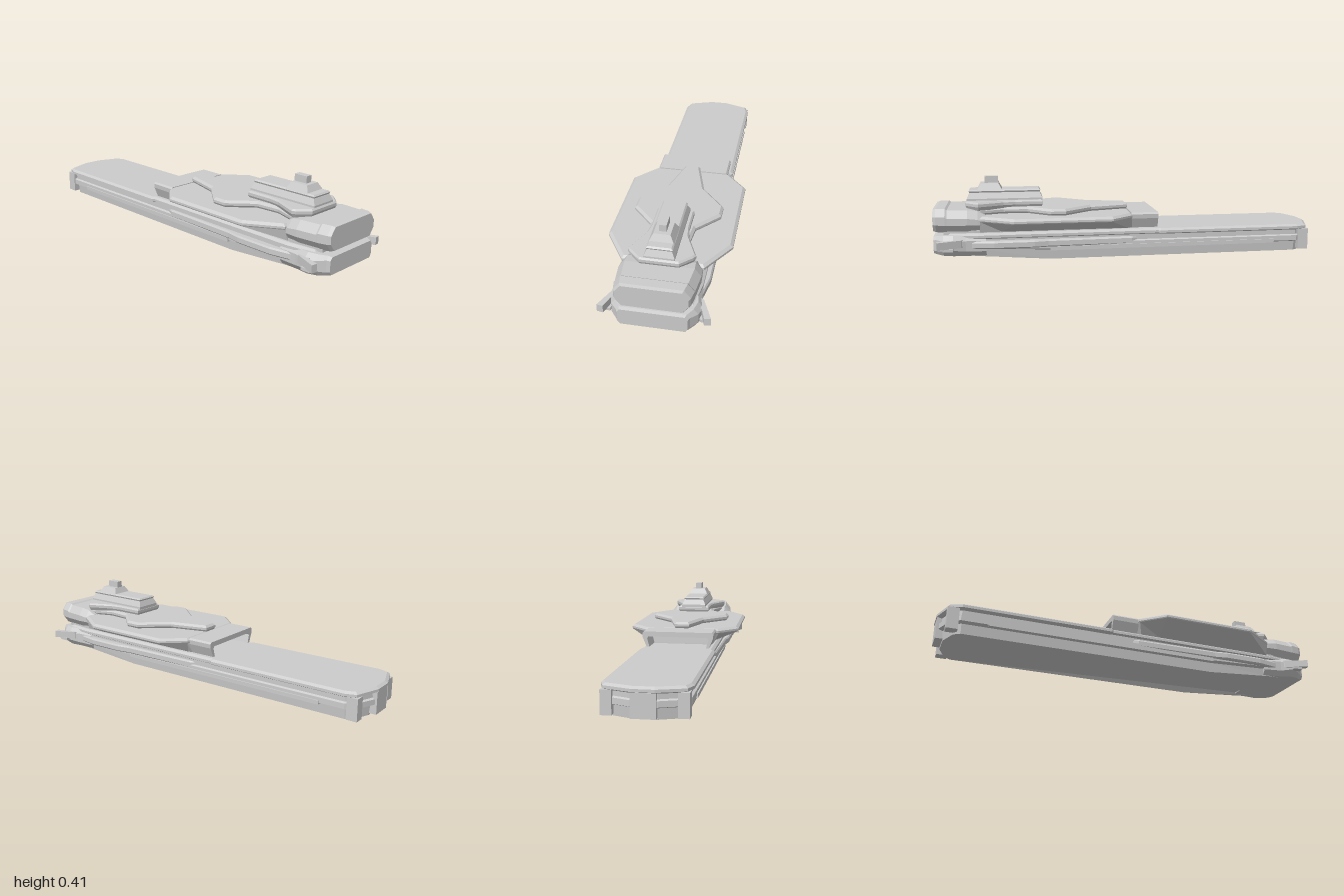
import * as THREE from 'three';

const grey = new THREE.MeshStandardMaterial({ color: 0xcccccc, flatShading: true });

// Mirror a half outline [x, z] across x = 0 into a closed loop.
const mirror = half => [...half, ...half.map(([x, z]) => [-x, z]).reverse()];

// Move a closed outline inward by d with mitred corners.
function inset(loop, d) {
  const n = loop.length;
  const s = Math.sign(THREE.ShapeUtils.area(loop.map(p => new THREE.Vector2(...p))));
  const normal = (a, b) => {
    const l = Math.hypot(b[0] - a[0], b[1] - a[1]);
    return [-s * (b[1] - a[1]) / l, s * (b[0] - a[0]) / l];
  };
  return loop.map((p, i) => {
    const a = normal(loop[(i + n - 1) % n], p), b = normal(p, loop[(i + 1) % n]);
    const k = d / Math.max(0.4, 1 + a[0] * b[0] + a[1] * b[1]);
    return [p[0] + (a[0] + b[0]) * k, p[1] + (a[1] + b[1]) * k];
  });
}

// Skin equal-length rings of [x, y, z] and cap both ends; axis is the stacking axis.
function loft(rings, axis) {
  const n = rings[0].length, tris = [];
  for (let r = 0; r < rings.length - 1; r++) {
    for (let i = 0; i < n; i++) {
      const j = (i + 1) % n, a = rings[r], b = rings[r + 1];
      tris.push([a[i], a[j], b[j]], [a[i], b[j], b[i]]);
    }
  }
  [rings[0], rings[rings.length - 1]].forEach((ring, end) => {
    const flat = ring.map(p => new THREE.Vector2(p[0], axis === 'y' ? p[2] : p[1]));
    const turn = THREE.ShapeUtils.area(flat);
    for (const t of THREE.ShapeUtils.triangulateShape(flat, [])) {
      const same = THREE.ShapeUtils.area(t.map(i => flat[i])) * turn > 0;
      const tri = t.map(i => ring[i]);
      tris.push(same === (end === 1) ? tri : tri.reverse());
    }
  });
  // Turn the whole skin outward when its signed volume is negative.
  let volume = 0;
  for (const [a, b, c] of tris) {
    volume += a[0] * (b[1] * c[2] - b[2] * c[1]) + a[1] * (b[2] * c[0] - b[0] * c[2]) + a[2] * (b[0] * c[1] - b[1] * c[0]);
  }
  if (volume < 0) tris.forEach(t => t.reverse());
  const geo = new THREE.BufferGeometry();
  geo.setAttribute('position', new THREE.Float32BufferAttribute(tris.flat(2), 3));
  geo.computeVertexNormals();
  return geo;
}

// Stack one plan outline at levels [y, inset].
const plate = (loop, levels, rise = () => 0) => loft(levels.map(([y, d]) =>
  inset(loop, d).map(([x, z]) => [x, y + rise(y, z), z])), 'y');

// Bevelled octagonal section at z.
const octagon = ([z, w, y0, y1, c]) => mirror([[w - c, y0], [w, y0 + c * 1.3], [w, y1 - c * 1.3], [w - c, y1]])
  .map(([x, y]) => [x, y, z]);

export function createModel() {
  const model = new THREE.Group();
  const add = (name, geo) => {
    const mesh = new THREE.Mesh(geo, grey);
    mesh.name = name;
    model.add(mesh);
    return mesh;
  };
  const box = (name, x0, x1, y0, y1, z0, z1) =>
    add(name, new THREE.BoxGeometry(x1 - x0, y1 - y0, z1 - z0))
      .position.set((x0 + x1) / 2, (y0 + y1) / 2, (z0 + z1) / 2);

  // Lower hull, its keel rising towards the bow
  const keelRise = (y, z) => Math.max(0, (z - 0.42) / 0.58) * 0.045 * Math.max(0, 1 - y / 0.12);
  const hull = mirror([[0.06, -0.985], [0.16, -0.945], [0.19, -0.9], [0.19, 0.42], [0.19, 0.78], [0.165, 0.97]]);
  add('lowerHull', plate(hull, [[0, 0.025], [0.05, 0.02], [0.058, 0], [0.085, 0], [0.09, 0.012], [0.125, 0.012]], keelRise));

  // Flight deck with bevelled edge
  const deck = mirror([[0.05, -1], [0.18, -0.955], [0.2, -0.9], [0.2, -0.15], [0.19, -0.14], [0.19, 0.78], [0.17, 0.93]]);
  add('deck', plate(deck, [[0.116, 0.014], [0.123, 0], [0.136, 0], [0.146, 0.014]]));

  // Lower bow
  add('lowerBow', loft([
    [0.74, 0.185, 0.03, 0.135, 0.02], [0.84, 0.195, 0.033, 0.138, 0.02], [0.9, 0.212, 0.036, 0.138, 0.025],
    [0.95, 0.195, 0.038, 0.138, 0.02], [0.985, 0.165, 0.042, 0.135, 0.014], [1, 0.157, 0.047, 0.13, 0.012],
  ].map(octagon), 'z'));

  // Stern panel
  box('sternPanel', -0.055, 0.055, 0.01, 0.12, -0.997, -0.95);

  for (const s of [-1, 1]) {
    const side = (a, b) => (s > 0 ? [a, b] : [-b, -a]);
    // Stern corner blocks and side ledges
    box('sternBlock', ...side(0.14, 0.19), 0.01, 0.12, -0.965, -0.91);
    box('sideLedge', ...side(0.17, 0.196), 0.05, 0.07, -0.77, 0.42);
    // Forward side rail, tapered at both ends
    const rail = [[0.17, -0.05], [0.19, 0], [0.2, 0.43], [0.212, 0.5], [0.212, 0.7], [0.19, 0.82], [0.17, 0.82]];
    add('sideRail', plate(rail.map(([x, z]) => [s * x, z]), [[0.07, 0.006], [0.076, 0], [0.1, 0], [0.108, 0.006]]));
    // Bow fins
    const fin = [[0.17, 0.84], [0.205, 0.86], [0.255, 0.975], [0.225, 0.98], [0.205, 0.92], [0.17, 0.92]];
    add('bowFin', plate(fin.map(([x, z]) => [s * x, z]), [[0.08, 0], [0.118, 0]]));
    box('finMount', ...side(0.2, 0.234), 0.067, 0.082, 0.9, 0.95);
  }

  // Pedestal joining the two hulls
  add('pedestal', plate(mirror([[0.15, 0], [0.165, 0.1], [0.165, 0.8], [0.15, 0.95]]), [[0.13, 0], [0.16, 0]]));

  // Upper hull with undercut sides
  const rim = mirror([[0.185, -0.005], [0.2, 0], [0.298, 0.11], [0.298, 0.6], [0.19, 0.77]]);
  const under = mirror([[0.165, -0.005], [0.17, 0.02], [0.17, 0.12], [0.17, 0.66], [0.17, 0.77]]);
  const level = (loop, y) => loop.map(([x, z]) => [x, y, z]);
  add('upperHull', loft([level(under, 0.15), level(inset(rim, 0.003), 0.205), level(rim, 0.21),
    level(rim, 0.22), level(inset(rim, 0.014), 0.231)], 'y'));

  // Rear hangar arch over the deck
  const arch = mirror([[0.155, 0.205], [0.162, 0.195], [0.15, 0.15], [0.165, 0.15], [0.186, 0.2], [0.188, 0.222], [0.18, 0.231]]);
  add('hangarArch', loft([-0.14, 0].map(z => arch.map(([x, y]) => [x, y, z])), 'z'));

  // Upper bow
  add('upperBow', loft([
    [0.74, 0.18, 0.15, 0.232, 0.025], [0.78, 0.185, 0.15, 0.255, 0.03], [0.83, 0.188, 0.15, 0.262, 0.03],
    [0.93, 0.178, 0.15, 0.263, 0.03], [0.94, 0.178, 0.15, 0.27, 0.03], [0.985, 0.17, 0.152, 0.27, 0.03],
    [1, 0.162, 0.157, 0.266, 0.028],
  ].map(octagon), 'z'));

  // Raised upper deck
  const raised = mirror([[0.04, 0], [0.095, 0.2], [0.215, 0.34], [0.215, 0.415], [0.11, 0.53], [0.1, 0.65], [0.14, 0.77], [0.09, 0.82]]);
  add('raisedDeck', plate(raised, [[0.225, 0.01], [0.24, 0], [0.252, 0], [0.263, 0.012]]));

  // Bridge base
  const base = mirror([[0.09, 0.45], [0.09, 0.59], [0.1, 0.65], [0.155, 0.775], [0.145, 0.79], [0.09, 0.842]]);
  add('bridgeBase', plate(base, [[0.255, 0.01], [0.274, 0], [0.288, 0], [0.296, 0.007]]));

  // Bridge tiers
  const tier = mirror([[0.07, 0.45], [0.07, 0.835]]);
  add('bridge', plate(tier, [[0.29, 0], [0.305, 0], [0.335, 0.014], [0.343, 0.01], [0.35, 0.017]]));
  add('bridgeTop', plate(mirror([[0.058, 0.655], [0.058, 0.785]]), [[0.345, 0], [0.381, 0.019]]));
  box('mast', -0.017, 0.017, 0.375, 0.415, 0.675, 0.745);

  return model;
}
